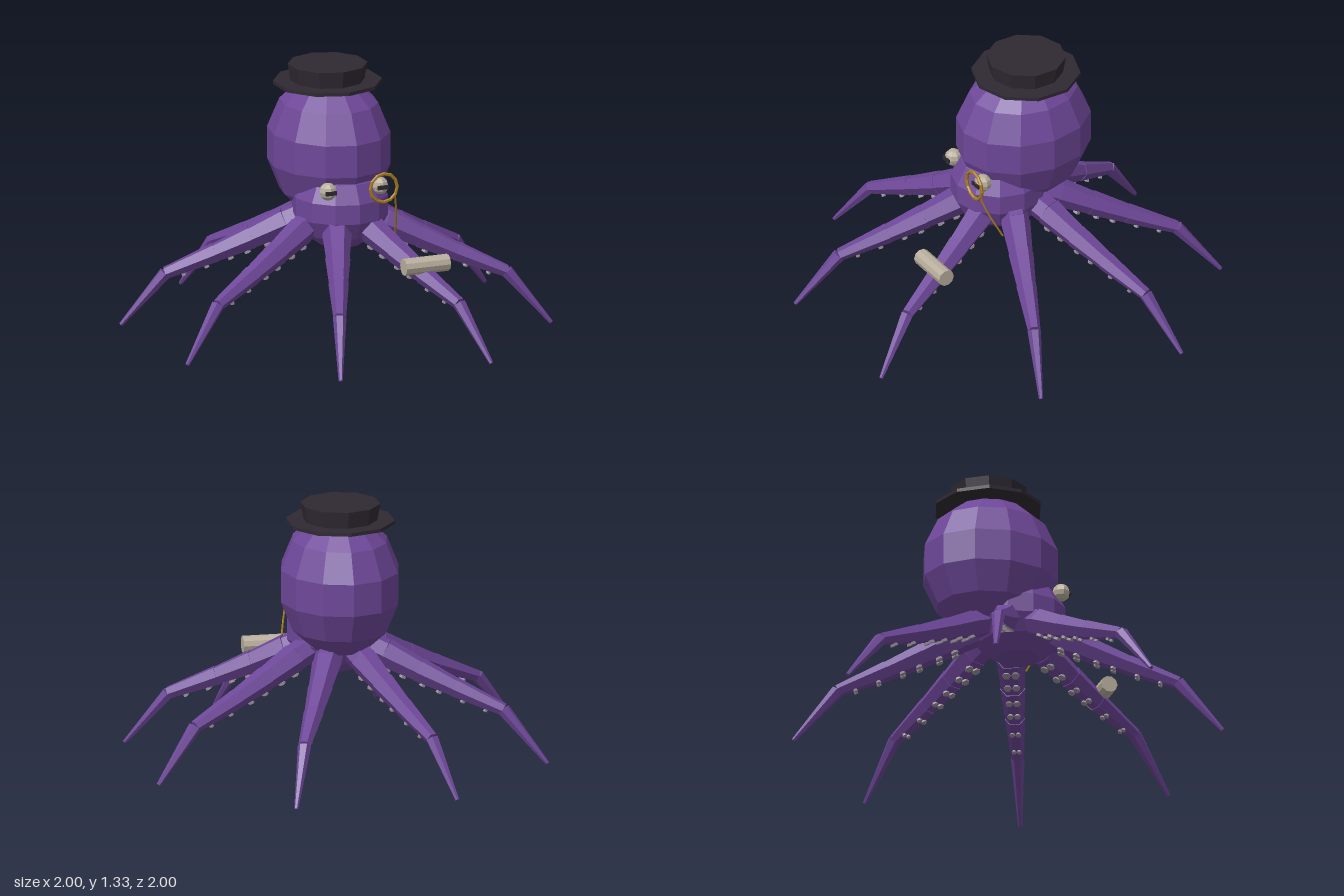
import * as THREE from 'three';

const mat = (name, color) => {
  const m = new THREE.MeshStandardMaterial({ color, flatShading: true });
  m.name = name;
  return m;
};

export function createModel() {
  const skin = mat('purple skin', 0x6e4799);
  const black = mat('hat black', 0x2f2932);
  const pale = mat('pale ivory', 0xb8ae9c);
  const gold = mat('gold', 0xa87c1c);
  const grey = mat('sucker grey', 0x9a919c);

  const model = new THREE.Group();
  model.name = 'octopus';

  const add = (parent, name, geo, material, x = 0, y = 0, z = 0) => {
    const m = new THREE.Mesh(geo, material);
    m.name = name;
    m.position.set(x, y, z);
    parent.add(m);
    return m;
  };

  // Tapered round bar from a to b
  const up = new THREE.Vector3(0, 1, 0);
  const bar = (parent, name, a, b, ra, rb, sides, material) => {
    const d = b.clone().sub(a);
    const m = add(parent, name, new THREE.CylinderGeometry(rb, ra, d.length(), sides), material);
    m.position.copy(a).addScaledVector(d, 0.5);
    m.quaternion.setFromUnitVectors(up, d.normalize());
    return m;
  };

  // Body: large mantle behind, smaller head below and in front
  add(model, 'mantle', new THREE.SphereGeometry(1, 12, 7), skin, 0, 0.915, -0.09).scale.set(0.307, 0.37, 0.358);
  add(model, 'head', new THREE.SphereGeometry(1, 12, 7), skin, 0, 0.65, 0.05).scale.set(0.245, 0.225, 0.252);

  // Tentacle stations: distance from centre, height, radius
  const stations = [
    [0.14, 0.59, 0.072], [0.25, 0.545, 0.074], [0.42, 0.465, 0.063],
    [0.60, 0.385, 0.051], [0.85, 0.28, 0.034], [1.072, 0.014, 0.011],
  ];
  for (let i = 0; i < 8; i++) {
    const arm = new THREE.Group();
    arm.name = 'tentacle' + (i + 1);
    arm.rotation.y = (i + 0.5) * Math.PI / 4;
    for (let j = 0; j < stations.length - 1; j++) {
      const [r0, y0, w0] = stations[j], [r1, y1, w1] = stations[j + 1];
      const a = new THREE.Vector3(r0, y0, 0), b = new THREE.Vector3(r1, y1, 0);
      bar(arm, 'tentacleSegment', a, b, w0, w1 * 0.94, 6, skin);
      if (j < 1 || j > 3) continue;
      // Two rows of suckers on the underside
      const dir = b.clone().sub(a).normalize();
      const down = new THREE.Vector3(dir.y, -dir.x, 0);
      for (const t of [0.25, 0.7]) for (const side of [-1, 1]) {
        const w = THREE.MathUtils.lerp(w0, w1, t);
        const p = a.clone().lerp(b, t).addScaledVector(down, w * 0.83);
        p.z = side * w * 0.32;
        bar(arm, 'sucker', p, p.clone().addScaledVector(down, 0.013), w * 0.26, w * 0.3, 6, grey);
      }
    }
    model.add(arm);
  }

  // Eyes with horizontal slit pupils
  for (const x of [-0.145, 0.137]) {
    add(model, 'eye', new THREE.SphereGeometry(0.045, 8, 6), pale, x, 0.77, 0.23);
    add(model, 'pupil', new THREE.BoxGeometry(0.058, 0.02, 0.009), black, x, 0.77, 0.273);
  }

  // Monocle and its chain
  add(model, 'monocle', new THREE.TorusGeometry(0.073, 0.009, 6, 12), gold, 0.137, 0.77, 0.28);
  const chain = new THREE.CatmullRomCurve3([
    new THREE.Vector3(0.198, 0.725, 0.28), new THREE.Vector3(0.217, 0.64, 0.25),
    new THREE.Vector3(0.245, 0.5, 0.18),
  ]);
  add(model, 'monocleChain', new THREE.TubeGeometry(chain, 6, 0.005, 5), gold);

  // Rolled scroll resting on the front tentacle
  add(model, 'scroll', new THREE.CylinderGeometry(0.043, 0.043, 0.24, 10), pale, 0.235, 0.437, 0.575).rotation.z = Math.PI / 2;

  // Hat
  add(model, 'hatBrim', new THREE.CylinderGeometry(0.273, 0.273, 0.018, 10), black, 0, 1.241, -0.105);
  add(model, 'hatCrown', new THREE.CylinderGeometry(0.2, 0.185, 0.09, 10), black, 0, 1.29, -0.105);

  return model;
}
